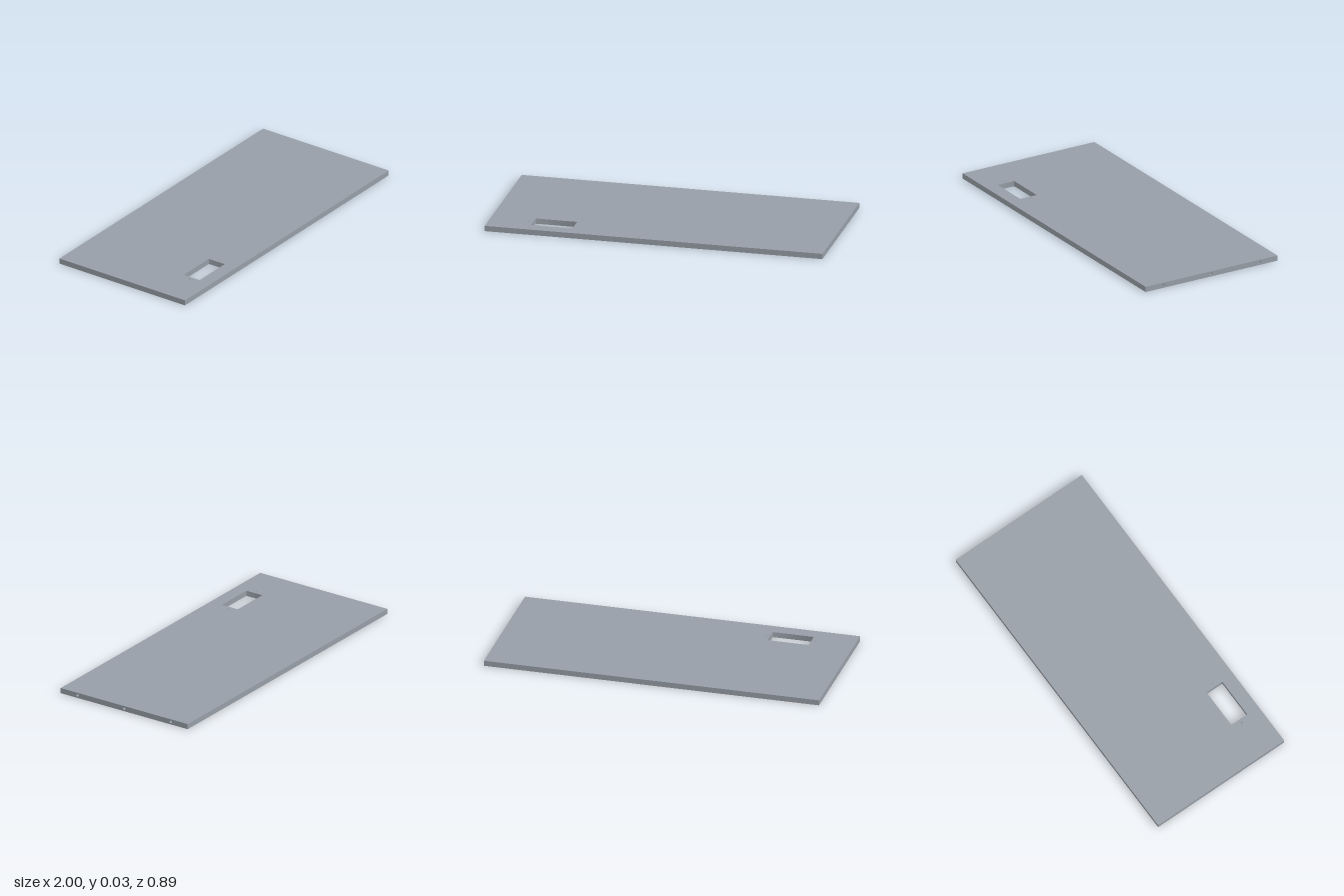
import * as THREE from 'three';
import { toCreasedNormals } from 'three/addons/utils/BufferGeometryUtils.js';

const LENGTH = 2, DEPTH = 0.892, THICK = 0.032;
const CUT = { x: -0.623, z: 0.31, w: 0.246, h: 0.112, r: 0.005 };

const material = new THREE.MeshStandardMaterial({ color: 0x979ea7 });

function add(parent, name, geometry) {
  const mesh = new THREE.Mesh(geometry, material);
  mesh.name = name;
  parent.add(mesh);
  return mesh;
}

// Counter-clockwise rounded rectangle
function roundedRect(cx, cy, w, h, r) {
  const p = new THREE.Path();
  const corners = [[1, -1], [1, 1], [-1, 1], [-1, -1]];
  corners.forEach(([sx, sy], i) => {
    const start = (i - 1) * Math.PI / 2;
    p.absarc(cx + sx * (w / 2 - r), cy + sy * (h / 2 - r), r, start, start + Math.PI / 2, false);
  });
  p.closePath();
  return p;
}

// Blind drilled hole: inward wall and floor, opening at z = 0
function drillCup(r, depth) {
  const profile = [[r, 0], [r, -depth], [0, -depth]].map(([x, y]) => new THREE.Vector2(x, y));
  return toCreasedNormals(new THREE.LatheGeometry(profile, 24).rotateX(Math.PI / 2), 0.6);
}

// Flat board face in local xy, facing +z, with drilled holes and cut-outs
function boardFace(name, w, h, drills = [], cuts = []) {
  const group = new THREE.Group();
  group.name = name;
  const shape = new THREE.Shape();
  shape.moveTo(-w / 2, -h / 2).lineTo(w / 2, -h / 2).lineTo(w / 2, h / 2).lineTo(-w / 2, h / 2).closePath();
  shape.holes.push(...cuts);
  for (const { x, y, r, depth } of drills) {
    shape.holes.push(new THREE.Path().absarc(x, y, r, 0, Math.PI * 2, false));
    add(group, name + 'DrillHole', drillCup(r, depth)).position.set(x, y, 0);
  }
  add(group, name + 'Surface', new THREE.ShapeGeometry(shape, 12));
  return group;
}

// Inward-facing wall following a closed outline down through the board
function cutoutWall(path, depth) {
  const pts = path.getPoints(12), pos = [];
  for (let i = 0; i < pts.length - 1; i++) {
    const a = pts[i], b = pts[i + 1];
    if (a.distanceTo(b) < 1e-6) continue;
    pos.push(a.x, a.y, 0, b.x, b.y, 0, b.x, b.y, -depth);
    pos.push(a.x, a.y, 0, b.x, b.y, -depth, a.x, a.y, -depth);
  }
  const g = new THREE.BufferGeometry();
  g.setAttribute('position', new THREE.Float32BufferAttribute(pos, 3));
  return toCreasedNormals(g, 0.6);
}

export function createModel() {
  const model = new THREE.Group();
  model.name = 'panel';

  // Top: rectangular cut-out flanked by two screw holes
  const topCut = roundedRect(CUT.x, -CUT.z, CUT.w, CUT.h, CUT.r);
  const screws = [-1, 1].map(s => ({ x: CUT.x + s * 0.146, y: -CUT.z, r: 0.004, depth: 0.02 }));
  const top = boardFace('top', LENGTH, DEPTH, screws, [topCut]);
  add(top, 'cutoutWall', cutoutWall(topCut, THICK));
  top.rotation.x = -Math.PI / 2;
  top.position.y = THICK;

  // Underside: same cut-out and two pilot holes
  const pilots = [-1, 1].map(s => ({ x: 0.056, y: s * 0.285, r: 0.005, depth: 0.015 }));
  const bottom = boardFace('bottom', LENGTH, DEPTH, pilots,
    [roundedRect(CUT.x, CUT.z, CUT.w, CUT.h, CUT.r)]);
  bottom.rotation.x = Math.PI / 2;

  // Long edges
  const front = boardFace('frontEdge', LENGTH, THICK);
  front.position.set(0, THICK / 2, DEPTH / 2);
  const back = boardFace('backEdge', LENGTH, THICK);
  back.rotation.y = Math.PI;
  back.position.set(0, THICK / 2, -DEPTH / 2);

  // Short edges: three dowel holes on the +x end, plain on the other
  const dowels = [-0.327, 0, 0.327].map(x => ({ x, y: 0, r: 0.008, depth: 0.06 }));
  const left = boardFace('leftEdge', DEPTH, THICK, dowels);
  left.rotation.y = Math.PI / 2;
  left.position.set(LENGTH / 2, THICK / 2, 0);
  const right = boardFace('rightEdge', DEPTH, THICK);
  right.rotation.y = -Math.PI / 2;
  right.position.set(-LENGTH / 2, THICK / 2, 0);

  model.add(top, bottom, front, back, left, right);
  return model;
}
